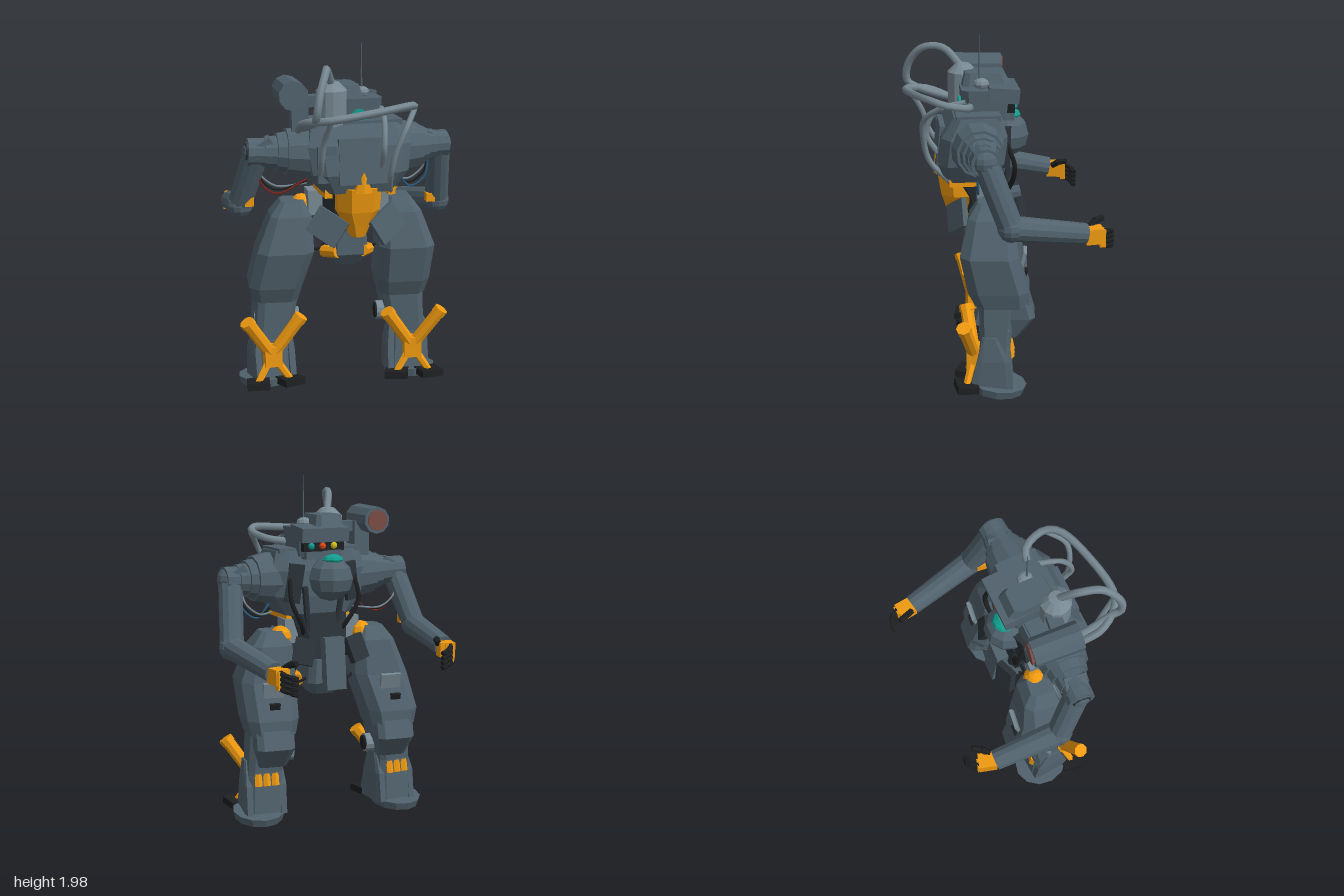
import * as THREE from 'three';

const SLATE = 0x51626d, DARK = 0x2c343a, LIGHT = 0x788993, GOLD = 0xf09a10, BLACK = 0x1d1f21, TEAL = 0x129c8e;
const V = (p) => new THREE.Vector3(...p);

function add(parent, name, geo, color, pos = [0, 0, 0], rot = [0, 0, 0], flatShading = true) {
  const mat = new THREE.MeshStandardMaterial({ color, flatShading, side: THREE.DoubleSide });
  const m = new THREE.Mesh(geo, mat);
  m.name = name;
  m.position.set(...pos);
  m.rotation.set(...rot);
  parent.add(m);
  return m;
}
const box = (p, name, size, pos, color = SLATE, rot) => add(p, name, new THREE.BoxGeometry(...size), color, pos, rot);

// Faceted cylinder or cone running from a to b
function rod(p, name, a, b, r1, r2 = r1, color = SLATE, n = 10) {
  const d = V(b).sub(V(a));
  const m = add(p, name, new THREE.CylinderGeometry(r2, r1, d.length(), n), color);
  m.position.copy(V(a)).addScaledVector(d, 0.5);
  m.quaternion.setFromUnitVectors(new THREE.Vector3(0, 1, 0), d.normalize());
  return m;
}
const hose = (p, name, pts, r, color = LIGHT) =>
  add(p, name, new THREE.TubeGeometry(new THREE.CatmullRomCurve3(pts.map(V)), 28, r, 6), color, undefined, undefined, false);

// Armour shell through chamfered rectangles; rows are [x, y, z, halfWidth, halfDepth], bottom to top
function shell(p, name, rows, color = SLATE, k = 0.7) {
  const corners = [[1, -k], [1, k], [k, 1], [-k, 1], [-1, k], [-1, -k], [-k, -1], [k, -1]];
  const pos = [], idx = [];
  rows.forEach(([x, y, z, w, d]) => corners.forEach(([a, b]) => pos.push(x + a * w, y, z + b * d)));
  for (let r = 0; r < rows.length - 1; r++)
    for (let i = 0; i < 8; i++) {
      const a = r * 8 + i, b = r * 8 + (i + 1) % 8;
      idx.push(a, a + 8, b, b, a + 8, b + 8);
    }
  const top = (rows.length - 1) * 8;
  for (let i = 1; i < 7; i++) idx.push(0, i, i + 1, top, top + i + 1, top + i);
  const g = new THREE.BufferGeometry();
  g.setAttribute('position', new THREE.Float32BufferAttribute(pos, 3));
  g.setIndex(idx);
  g.computeVertexNormals();
  return add(p, name, g, color);
}

function group(parent, name, pos = [0, 0, 0], yaw = 0) {
  const g = new THREE.Group();
  g.name = name;
  g.position.set(...pos);
  g.rotation.y = yaw;
  parent.add(g);
  return g;
}

function buildTorso(root) {
  const t = group(root, 'torso', [0.05, 0, 0.18], 0.13);
  shell(t, 'chestArmour', [[0, 1.19, 0, 0.2, 0.16], [0, 1.3, 0.01, 0.27, 0.19], [0, 1.45, 0, 0.29, 0.18], [0, 1.56, -0.02, 0.26, 0.13]], SLATE, 0.75);
  box(t, 'rearPanel', [0.27, 0.25, 0.03], [0, 1.37, 0.18], SLATE, [-0.1, 0, 0]);
  box(t, 'sidePanel', [0.1, 0.2, 0.05], [-0.2, 1.36, 0.16]);
  box(t, 'collar', [0.5, 0.03, 0.24], [0, 1.56, -0.02]);
  // faceted cockpit nose on the far side
  add(t, 'cockpitNose', new THREE.SphereGeometry(0.13, 10, 6), SLATE, [-0.04, 1.4, -0.2]);
  add(t, 'cockpitWindow', new THREE.SphereGeometry(0.065, 10, 6), TEAL, [-0.04, 1.51, -0.22]).scale.y = 0.5;
  for (const s of [-1, 1]) {
    box(t, 'chestFlank', [0.09, 0.22, 0.07], [s * 0.17, 1.38, -0.16], DARK, [0, s * -0.3, s * 0.15]);
    rod(t, 'chestStrut', [s * 0.12, 1.36, -0.2], [s * 0.08, 1.04, -0.17], 0.018, 0.018, DARK, 6);
    hose(t, 'chestCable', [[s * 0.2, 1.42, -0.17], [s * 0.21, 1.28, -0.22], [s * 0.14, 1.14, -0.2], [s * 0.1, 1.06, -0.14]], 0.014, BLACK);
  }
  // gold rear bowl with a pointed tab
  shell(t, 'goldBowl', [[0, 0.93, 0.08, 0.04, 0.05], [0, 1.0, 0.06, 0.07, 0.09], [0, 1.08, 0.045, 0.12, 0.13], [0, 1.215, 0.045, 0.13, 0.15]], GOLD, 0.5);
  rod(t, 'goldTab', [0, 1.2, 0.185], [0, 1.31, 0.205], 0.06, 0.003, GOLD, 6).scale.z = 0.5;
  for (const s of [-1, 1]) box(t, 'goldFlank', [0.04, 0.05, 0.26], [s * 0.18, 1.19, 0.01], GOLD);
}

function buildHead(root) {
  const h = group(root, 'head', [0.05, 0, 0.08], 0.13);
  shell(h, 'skull', [[0, 1.53, 0.02, 0.13, 0.13], [0, 1.69, 0.02, 0.14, 0.14]], SLATE, 0.75);
  shell(h, 'crown', [[-0.05, 1.68, 0.01, 0.09, 0.14], [-0.06, 1.76, 0.02, 0.075, 0.11]], SLATE, 0.75);
  box(h, 'brow', [0.29, 0.08, 0.17], [0, 1.66, -0.07], SLATE, [-0.1, 0, 0]);
  box(h, 'visorSlot', [0.25, 0.06, 0.06], [0, 1.59, -0.1], BLACK);
  box(h, 'jaw', [0.22, 0.05, 0.08], [0, 1.54, -0.09]);
  for (const [x, c] of [[-0.06, 0xd0c020], [0.01, 0xe04818], [0.08, TEAL]]) add(h, 'lens', new THREE.SphereGeometry(0.02, 8, 6), c, [x, 1.59, -0.13]);
  rod(h, 'rearPort', [0, 1.59, 0.12], [0, 1.59, 0.17], 0.045, 0.045, TEAL, 12);
  // antenna on its dome
  add(root, 'antennaDome', new THREE.SphereGeometry(0.045, 10, 6), LIGHT, [0.1, 1.71, 0.12]).scale.y = 0.7;
  rod(root, 'antenna', [0.1, 1.72, 0.13], [0.1, 1.98, 0.13], 0.006, 0.002, SLATE, 5);
  // air tank
  const profile = [[0, 1.54], [0.085, 1.54], [0.085, 1.74], [0.04, 1.785], [0, 1.79]].map((q) => new THREE.Vector2(...q));
  add(root, 'airTank', new THREE.LatheGeometry(profile, 12), LIGHT, [-0.08, 0, 0.23]);
  // launcher tube with lens on a post
  rod(root, 'launcherTube', [-0.29, 1.72, 0.29], [-0.31, 1.72, 0.02], 0.082, 0.078, SLATE, 10);
  rod(root, 'launcherLens', [-0.31, 1.72, 0.03], [-0.31, 1.72, 0.01], 0.06, 0.06, 0x7a4c44, 10);
  box(root, 'launcherPost', [0.09, 0.2, 0.14], [-0.255, 1.61, 0.2]);
  box(root, 'launcherLink', [0.12, 0.06, 0.08], [-0.19, 1.68, 0.2]);
}

function buildHoses(root) {
  hose(root, 'tankHose', [[-0.08, 1.77, 0.24], [-0.12, 1.865, 0.34], [-0.14, 1.865, 0.45], [-0.18, 1.77, 0.54], [-0.2, 1.66, 0.555], [-0.2, 1.62, 0.5], [-0.22, 1.58, 0.4], [-0.24, 1.54, 0.26]], 0.022);
  hose(root, 'crossHose', [[-0.27, 1.54, 0.3], [-0.25, 1.6, 0.44], [-0.12, 1.63, 0.55], [0.16, 1.66, 0.48], [0.33, 1.67, 0.38], [0.36, 1.65, 0.3], [0.3, 1.62, 0.19], [0.18, 1.6, 0.18]], 0.022);
  hose(root, 'rearHose', [[0.36, 1.64, 0.32], [0.3, 1.56, 0.42], [0.24, 1.42, 0.43], [0.22, 1.3, 0.4], [0.24, 1.18, 0.28]], 0.016);
  hose(root, 'rearHose', [[0.2, 1.63, 0.2], [0.19, 1.58, 0.36], [0.18, 1.45, 0.42], [0.18, 1.34, 0.36]], 0.016);
  hose(root, 'rearHose', [[-0.12, 1.63, 0.54], [-0.15, 1.5, 0.47], [-0.16, 1.38, 0.43], [-0.16, 1.28, 0.36]], 0.016);
}

function buildPelvis(root) {
  const p = group(root, 'pelvis', [0.02, 0, 0.08], 0.08);
  shell(p, 'waist', [[0, 0.88, 0, 0.1, 0.11], [0, 1.05, 0.02, 0.14, 0.12], [0.02, 1.2, 0.06, 0.17, 0.14]], DARK);
  shell(p, 'crotchBlock', [[0, 0.73, 0, 0.07, 0.08], [0, 0.8, 0, 0.11, 0.13], [0, 0.94, 0, 0.1, 0.13]]);
  box(p, 'groinGuard', [0.12, 0.3, 0.07], [-0.02, 0.92, -0.16], SLATE, [0.12, 0, 0]);
  rod(p, 'hipAxle', [-0.32, 0.99, 0], [0.32, 0.99, 0], 0.06, 0.06, DARK);
  for (const s of [-1, 1]) {
    box(p, 'rearSkirt', [0.19, 0.16, 0.03], [s * 0.17 + 0.025, 0.99, 0.19], SLATE, [-0.2, s * 0.4, s * 0.6]);
    box(p, 'frontSkirt', [0.12, 0.15, 0.04], [s * 0.16, 1.0, -0.16], DARK, [0.3, s * -0.3, s * 0.3]);
    box(p, 'waistBlock', [0.08, 0.14, 0.12], [s * 0.19, 1.1, 0.02], LIGHT);
    rod(p, 'goldActuator', [s * 0.07, 0.82, 0.12], [s * 0.13, 0.8, 0.02], 0.035, 0.035, GOLD, 8);
    add(p, 'goldHip', new THREE.SphereGeometry(0.065, 10, 6), GOLD, [s * 0.25, 1.07, -0.02]);
    hose(p, 'hipCable', [[s * 0.08, 0.84, -0.06], [s * 0.16, 0.8, -0.03], [s * 0.24, 0.86, 0]], 0.008, BLACK);
  }
}

// s is the side; hip, mid, knee and foot are x positions; dz shifts the leg in depth; yaw turns the foot
function buildLeg(root, s, hip, mid, knee, foot, dz, yaw) {
  const g = group(root, s > 0 ? 'leftLeg' : 'rightLeg', [0, 0, dz]);
  shell(g, 'thigh', [[knee, 0.53, 0, 0.13, 0.15], [knee, 0.62, 0.02, 0.15, 0.17], [mid, 0.83, 0.07, 0.16, 0.16], [hip, 1.03, 0.06, 0.115, 0.125], [hip - s * 0.01, 1.11, 0.06, 0.065, 0.075]], SLATE, 0.65);
  box(g, 'thighPlate', [0.12, 0.2, 0.02], [(mid + knee) / 2, 0.74, -0.1], LIGHT, [-0.25, 0, 0]);
  box(g, 'thighVent', [0.06, 0.06, 0.02], [knee, 0.69, -0.123], BLACK, [-0.25, 0, 0]);
  shell(g, 'kneeGuard', [[knee, 0.34, -0.03, 0.08, 0.06], [knee, 0.46, -0.08, 0.11, 0.1], [knee, 0.6, -0.05, 0.11, 0.09]]);
  rod(g, 'kneeJoint', [knee + s * 0.12, 0.4, 0.02], [knee - s * 0.14, 0.4, 0.02], 0.055, 0.055, LIGHT, 12);
  rod(g, 'kneeDisc', [knee - s * 0.13, 0.4, 0.02], [knee - s * 0.15, 0.4, 0.02], 0.045, 0.045, BLACK, 12);
  // foot, shin and thruster turn together
  const f = group(g, 'foot', [foot, 0, 0], yaw);
  const shin = s > 0 ? -0.03 : 0.015;
  shell(f, 'shin', [[shin, 0.06, 0.05, 0.11, 0.11], [shin, 0.3, 0.04, 0.1, 0.085], [knee - foot, 0.55, 0.03, 0.12, 0.1]]);
  for (const d of [-1, 1]) shell(f, 'ankleFairing', [[shin + d * 0.1, 0.05, 0.06, 0.025, 0.12], [shin + d * 0.1, 0.22, 0.05, 0.025, 0.09], [shin + d * 0.09, 0.36, 0.07, 0.02, 0.04]]);
  for (let i = -1; i <= 1; i++) rod(f, 'goldAnkle', [shin + i * 0.05, 0.29, -0.03], [shin + i * 0.05, 0.22, -0.045], 0.025, 0.025, GOLD, 6);
  // tilted round-toed sole with heel pads
  const sole = add(f, 'sole', new THREE.CylinderGeometry(0.15, 0.14, 0.045, 12), SLATE, [s < 0 ? -0.02 : 0, 0.04, 0.03], [-0.12, 0, 0]);
  sole.scale.z = 1.1;
  const c = [-0.01, 0.22, 0.16];
  for (const d of [-1, 1]) box(f, 'heelPad', [0.13, 0.04, 0.12], [c[0] + d * 0.095, 0.07, 0.2], BLACK, [-0.1, d * 0.25, 0]);
  // crossed gold thruster pipes
  box(f, 'thrusterHub', [0.1, 0.12, 0.08], c, GOLD);
  for (const d of [-1, 1]) {
    const tip = [c[0] + d * 0.16, 0.455, 0.21];
    rod(f, 'thrusterPipe', c, tip, 0.036, 0.038, GOLD, 8);
    rod(f, 'thrusterNozzle', [c[0] + d * 0.14, 0.425, 0.204], tip, 0.042, 0.042, GOLD, 8);
    rod(f, 'thrusterStay', c, [c[0] + d * 0.1, 0.07, 0.2], 0.025, 0.02, GOLD, 6);
  }
}

// base of the shoulder, joint, elbow and wrist are points; yaw turns the hand
function buildArm(root, s, base, joint, elbow, wrist, yaw) {
  const g = group(root, s > 0 ? 'leftArm' : 'rightArm');
  const at = (t) => V(base).lerp(V(joint), t).toArray();
  [[-0.2, 0.4, 0.155, 0.13], [0.3, 0.6, 0.12, 0.105], [0.5, 0.85, 0.095, 0.085], [0.8, 1.2, 0.078, 0.078]].forEach(([a, b, r1, r2]) => rod(g, 'shoulderRing', at(a), at(b), r1, r2, SLATE, 12));
  rod(g, 'shoulderCap', at(1.18), at(1.24), 0.055, 0.05, DARK, 12);
  box(g, 'shoulderBlock', [0.1, 0.06, 0.12], [joint[0] - s * 0.04, joint[1] + 0.035, joint[2]], SLATE, [0, 0, s * -0.5]);
  add(g, 'shoulderBall', new THREE.SphereGeometry(0.078, 12, 8), SLATE, joint);
  rod(g, 'upperArm', joint, elbow, 0.07, 0.068, SLATE, 12);
  add(g, 'elbow', new THREE.SphereGeometry(0.075, 12, 8), SLATE, elbow);
  rod(g, 'forearm', elbow, wrist, 0.07, 0.058, SLATE, 12);
  box(g, 'goldElbow', [0.05, 0.05, 0.06], [elbow[0] - s * 0.05, elbow[1] + 0.03, elbow[2] + 0.05], GOLD);
  // hand with curled fingers
  const h = group(g, 'hand', wrist, yaw), c = -s;
  box(h, 'goldWrist', [0.085, 0.085, 0.1], [0, -0.01, -0.045], GOLD);
  box(h, 'goldKnuckles', [0.05, 0.1, 0.03], [c * -0.01, -0.025, -0.09], GOLD);
  for (let i = 0; i < 4; i++) {
    const y = 0.015 - i * 0.027;
    const pts = [[c * -0.015, y, -0.09], [c * -0.005, y - 0.01, -0.125], [c * 0.02, y - 0.02, -0.15], [c * 0.05, y - 0.03, -0.165]];
    for (let k = 0; k < 3; k++) rod(h, 'finger', pts[k], pts[k + 1], 0.017, 0.015, BLACK, 6);
  }
  rod(h, 'thumb', [c * 0.04, 0.02, -0.03], [c * 0.06, 0.05, -0.07], 0.02, 0.02, BLACK, 6);
  rod(h, 'thumbTip', [c * 0.06, 0.05, -0.07], [c * 0.07, 0.06, -0.12], 0.02, 0.016, BLACK, 6);
  // thin cables below the shoulder
  [s > 0 ? 0x2c5f86 : 0x7a2620, BLACK, LIGHT].forEach((col, i) => hose(g, 'armCable', [[base[0] - s * 0.02, 1.25 - i * 0.02, base[2] - 0.03 * i], [s * 0.38, 1.17 + i * 0.015, base[2] - 0.03 * i], [s * 0.46, 1.22 + i * 0.02, base[2] - 0.03 * i], [s * 0.48, 1.32, base[2] - 0.02 * i]], 0.006, col));
}

export function createModel() {
  const root = new THREE.Group();
  root.name = 'walkerMech';
  buildTorso(root);
  buildHead(root);
  buildHoses(root);
  buildPelvis(root);
  buildLeg(root, 1, 0.33, 0.36, 0.35, 0.41, 0, 0);
  buildLeg(root, -1, -0.3, -0.335, -0.39, -0.44, 0.04, 0.2);
  buildArm(root, 1, [0.33, 1.4, 0.13], [0.545, 1.4, 0.09], [0.575, 1.04, -0.05], [0.445, 0.965, -0.45], 0.25);
  buildArm(root, -1, [-0.23, 1.4, 0.21], [-0.49, 1.41, 0.23], [-0.58, 1.09, 0.11], [-0.61, 1.02, -0.27], -0.15);
  return root;
}
